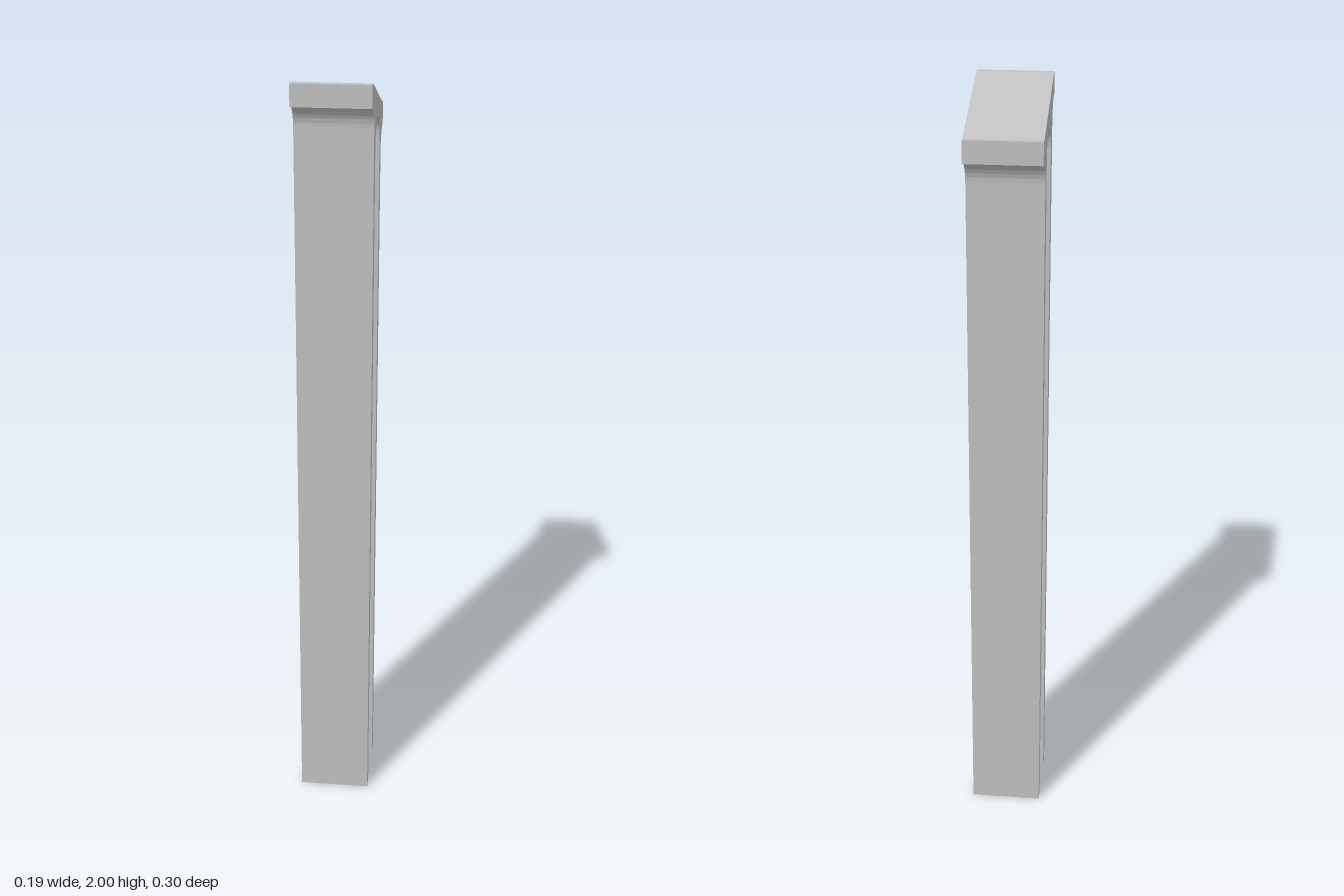
import * as THREE from 'three';
import { toCreasedNormals } from 'three/addons/utils/BufferGeometryUtils.js';

export function createModel() {
  const group = new THREE.Group();
  group.name = 'twoLeggedClip';
  const grey = new THREE.MeshStandardMaterial({ color: 0xc0c0c0 });
  grey.name = 'light grey';

  const width = 0.188, fillet = 0.057, legOut = 0.095, legIn = 0.06, lip = 0.152;

  // side profile, drawn with the front (+z) along the shape's x axis
  const s = new THREE.Shape();
  s.moveTo(legOut, 0);
  s.lineTo(legIn, 0);
  s.lineTo(legIn, 1.835);
  s.absarc(0, 1.835, legIn, 0, Math.PI, false); // arch between the legs
  s.lineTo(-legIn, 0);
  s.lineTo(-legOut, 0);
  s.lineTo(-legOut, 1.788);
  s.absarc(-lip, 1.788, fillet, 0, Math.PI / 2, false); // rear fillet
  s.lineTo(-lip, 1.9); // sloped cap with a small flat at each end
  s.lineTo(-0.135, 1.9);
  s.lineTo(0.132, 2);
  s.lineTo(lip, 2);
  s.lineTo(lip, 1.89 + fillet);
  s.absarc(lip, 1.89, fillet, Math.PI / 2, Math.PI, false); // front fillet
  s.closePath();

  const geo = new THREE.ExtrudeGeometry(s, { depth: width, bevelEnabled: false, curveSegments: 16 });
  geo.translate(0, 0, -width / 2);
  geo.rotateY(-Math.PI / 2);

  // smooth over the arch and fillets, sharp elsewhere
  const body = new THREE.Mesh(toCreasedNormals(geo, 0.3), grey);
  body.name = 'legsAndSlopedCap';
  group.add(body);
  return group;
}
